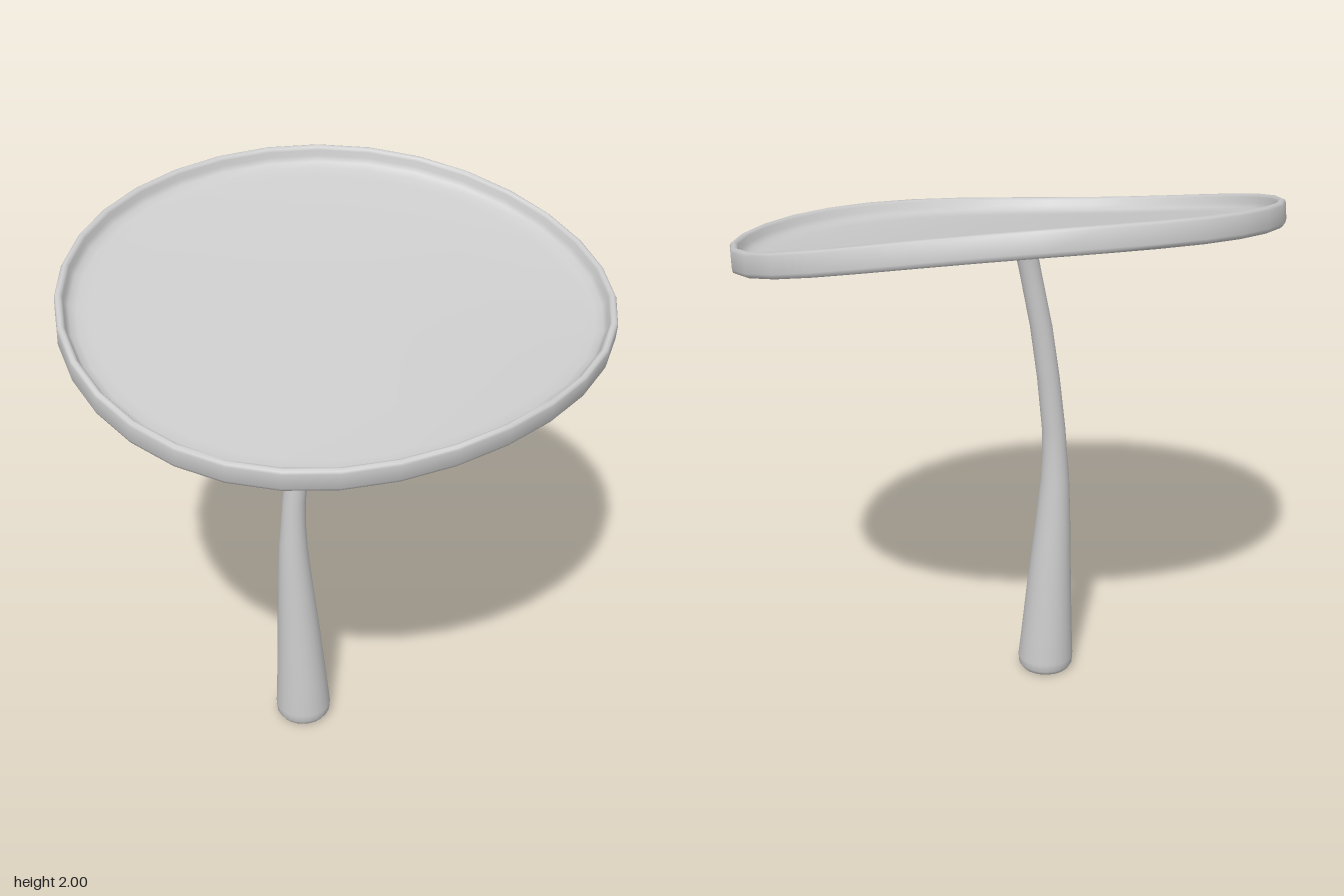
import * as THREE from 'three';
import { toCreasedNormals } from 'three/addons/utils/BufferGeometryUtils.js';

// Skin a stack of closed rings; point(row, angle) returns a Vector3.
function loft(rows, segments, point) {
  const pos = [], index = [];
  for (let i = 0; i < rows; i++) {
    for (let j = 0; j < segments; j++) {
      pos.push(...point(i, (j / segments) * Math.PI * 2).toArray());
      if (i === rows - 1) continue;
      const a = i * segments + j, b = i * segments + ((j + 1) % segments);
      index.push(a, a + segments, b, b, a + segments, b + segments);
    }
  }
  const g = new THREE.BufferGeometry();
  g.setAttribute('position', new THREE.Float32BufferAttribute(pos, 3));
  g.setIndex(index);
  g.computeVertexNormals();
  return g;
}

// Height of the tray's underside: tilted up to the back, gently twisted.
const underside = (x, z) =>
  1.705 - 0.215 * z + 0.05 * z * z + x * (-0.018 + 0.03 * z + 0.08 * z * z);

export function createModel() {
  const model = new THREE.Group();
  const material = new THREE.MeshStandardMaterial({ color: 0xcccccc });

  // Tray: section from the bottom centre, up the rim, back to the floor centre.
  // Each entry is [inset from outline, height above underside, scale].
  const section = [
    [0, 0, 0.001], [0, 0, 0.35], [0, 0, 0.7], [0.012, 0, 1], [0.003, 0.005, 1],
    [0, 0.015, 1], [0, 0.072, 1], [0.004, 0.08, 1], [0.013, 0.085, 1],
    [0.022, 0.082, 1], [0.028, 0.074, 1], [0.032, 0.055, 1], [0.045, 0.039, 1],
    [0.07, 0.031, 1], [0.11, 0.028, 1], [0, 0.028, 0.6], [0, 0.028, 0.3], [0, 0.028, 0.001],
  ];
  const tray = loft(section.length, 32, (i, t) => {
    const [inset, h, s] = section[i];
    const c = Math.cos(t), n = Math.sin(t);
    const x = s * ((0.96 - inset) * c - 0.045 * n * n);
    const z = s * (0.842 - inset) * n;
    return new THREE.Vector3(x, underside(x, z) + h, z + h * 0.2 - 0.008);
  });
  const trayMesh = new THREE.Mesh(toCreasedNormals(tray, 0.9), material);
  trayMesh.name = 'tray';
  model.add(trayMesh);

  // Stem: [height, centre x, radius], rounded foot, slight flare at the tray.
  const stem = [
    [0.008, -0.15, 0.001], [0.008, -0.15, 0.075], [0.014, -0.15, 0.092],
    [0.03, -0.15, 0.102], [0.06, -0.15, 0.104], [0.2, -0.155, 0.094],
    [0.4, -0.163, 0.081], [0.6, -0.173, 0.067], [0.7, -0.177, 0.06],
    [0.8, -0.18, 0.053], [0.9, -0.178, 0.046], [1.0, -0.173, 0.043],
    [1.2, -0.151, 0.041], [1.4, -0.122, 0.04], [1.56, -0.09, 0.039],
    [1.66, -0.07, 0.039], [1.69, -0.064, 0.045], [1.715, -0.06, 0.058],
  ];
  const stemMesh = new THREE.Mesh(loft(stem.length, 24, (i, t) => {
    const [y, cx, r] = stem[i];
    return new THREE.Vector3(cx + r * Math.cos(t), y - 0.008, r * Math.sin(t));
  }), material);
  stemMesh.name = 'stem';
  model.add(stemMesh);

  return model;
}
